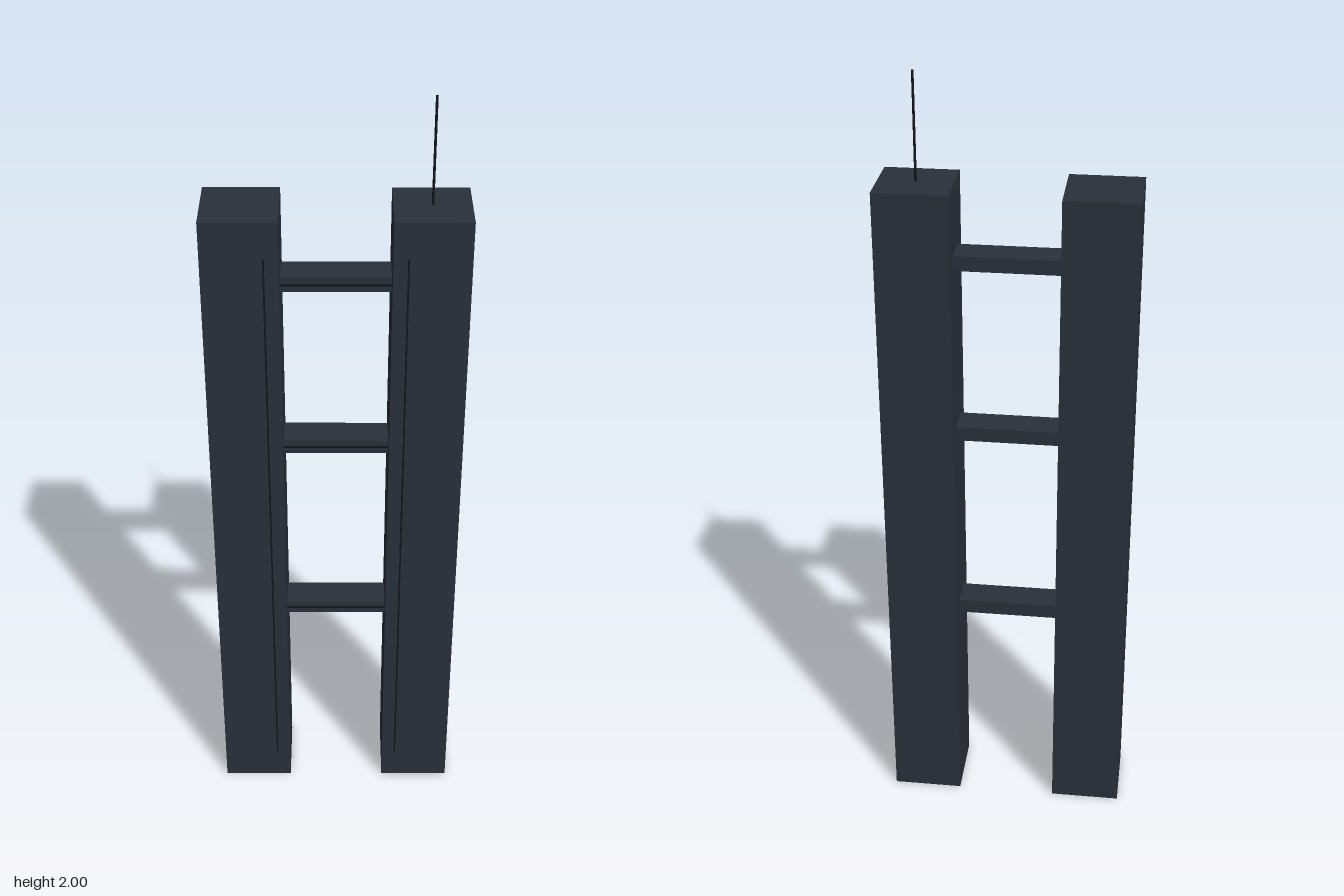
import * as THREE from 'three';

const wall = new THREE.MeshStandardMaterial({ color: 0x2a313c });
const trim = new THREE.MeshStandardMaterial({ color: 0x11151b });

function addMesh(parent, name, geometry, material, x, y, z) {
  const mesh = new THREE.Mesh(geometry, material);
  mesh.name = name;
  mesh.position.set(x, y, z);
  parent.add(mesh);
  return mesh;
}

export function createModel() {
  const model = new THREE.Group();
  model.name = 'twinTowers';
  const height = 1.74, width = 0.181, centre = 0.22;

  // Mirrored towers, each with a slim light strip on the front
  for (const side of [-1, 1]) {
    const tower = new THREE.Group();
    tower.name = side > 0 ? 'leftTower' : 'rightTower';
    addMesh(tower, 'towerBody', new THREE.BoxGeometry(width, height, width), wall, side * centre, height / 2, 0);
    addMesh(tower, 'frontStrip', new THREE.BoxGeometry(0.004, 1.56, 0.004), trim, side * 0.165, 0.87, 0.0915);
    model.add(tower);
  }

  // Sky bridges with a thin band along the front
  for (const y of [0.58, 1.10, 1.555]) {
    const bridge = new THREE.Group();
    bridge.name = 'skyBridge';
    addMesh(bridge, 'bridgeBody', new THREE.BoxGeometry(0.27, 0.037, 0.08), wall, 0, y, 0);
    addMesh(bridge, 'bridgeBand', new THREE.BoxGeometry(0.26, 0.005, 0.004), trim, 0, y, 0.04);
    model.add(bridge);
  }

  // Roof antenna
  addMesh(model, 'antenna', new THREE.CylinderGeometry(0.003, 0.003, 0.26, 8), trim, centre, 1.87, 0);

  return model;
}
